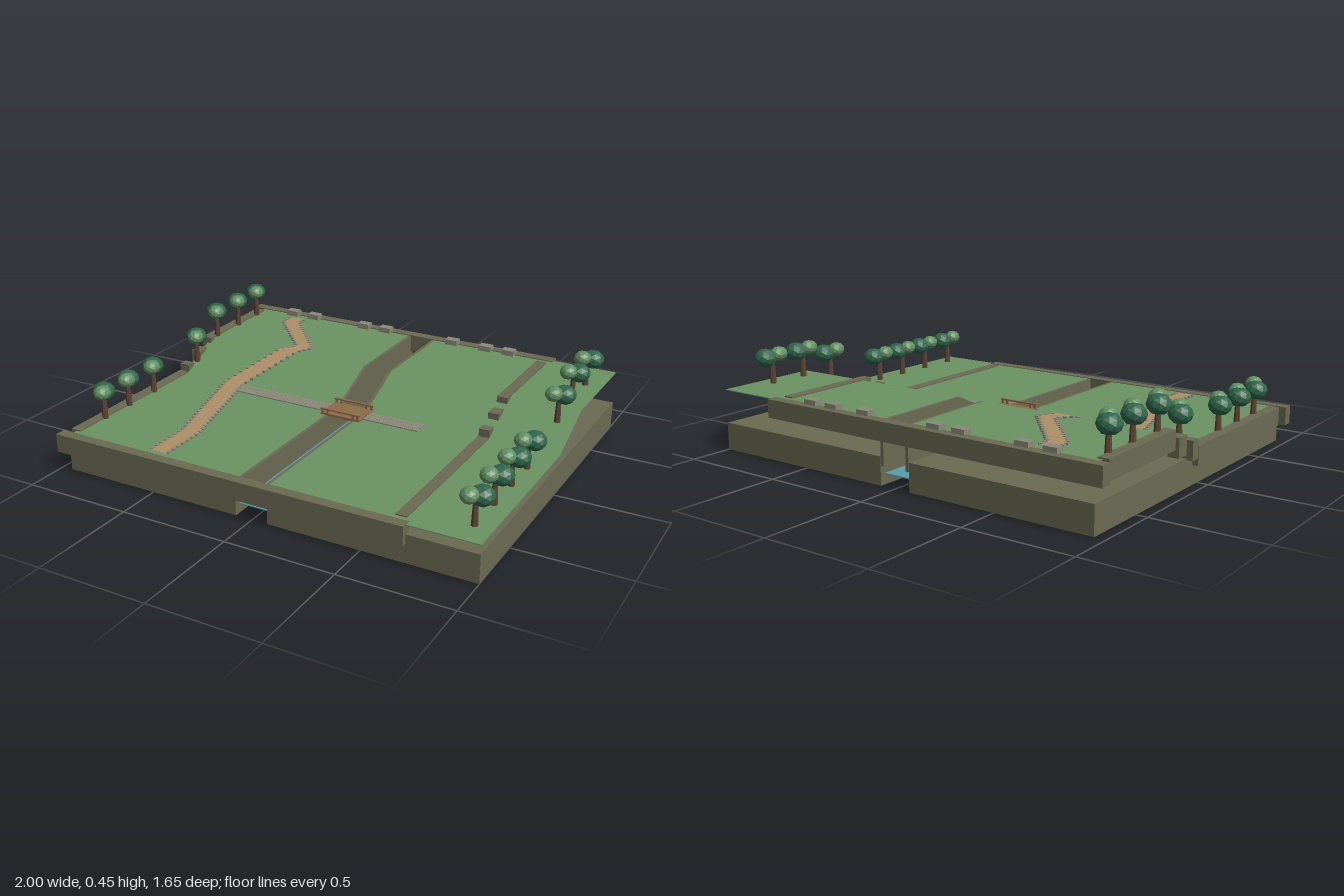
import * as THREE from 'three';

const mat = (name, color) => Object.assign(new THREE.MeshStandardMaterial({ color, flatShading: true }), { name });

export function createModel() {
  const root = new THREE.Group();
  root.name = 'terracedGarden';
  const M = {
    grass: mat('grass', 0x6b9362),
    wall: mat('oliveStone', 0x6b6a53),
    stone: mat('paleStone', 0x8a8a7a),
    water: mat('water', 0x5a9cab),
    dirt: mat('dirt', 0xae9068),
    wood: mat('bridgeWood', 0x8f6b4a),
    trunk: mat('bark', 0x5e4432),
    leafDark: mat('darkLeaves', 0x2f664a),
    leafLight: mat('lightLeaves', 0x628f62),
  };
  M.dirt.side = THREE.DoubleSide;

  const add = (name, geo, material, parent = root) => {
    const m = new THREE.Mesh(geo, material);
    m.name = name;
    parent.add(m);
    return m;
  };
  // box given by its extents
  const box = (name, material, x0, x1, y0, y1, z0, z1, parent = root) => {
    const m = add(name, new THREE.BoxGeometry(x1 - x0, y1 - y0, z1 - z0), material, parent);
    m.position.set((x0 + x1) / 2, (y0 + y1) / 2, (z0 + z1) / 2);
    return m;
  };

  // ground height: low terrace, ramp, high terrace
  const LOW = 0.167, HIGH = 0.279, RAMP0 = -0.05, RAMP1 = -0.3;
  const ground = z => LOW + (HIGH - LOW) * THREE.MathUtils.clamp((RAMP0 - z) / (RAMP0 - RAMP1), 0, 1);

  // side profile (z, y) extruded across x
  const across = (name, material, pts, x0, x1) => {
    const shape = new THREE.Shape(pts.map(p => new THREE.Vector2(p[0], p[1])));
    const geo = new THREE.ExtrudeGeometry(shape, { depth: x1 - x0, bevelEnabled: false, steps: 1 });
    geo.rotateY(-Math.PI / 2).translate(x1, 0, 0);
    return add(name, geo, material);
  };
  const topLine = [[0.8, LOW], [RAMP0, LOW], [RAMP1, HIGH], [-0.8, HIGH]];

  // foundation slabs with the canal gap between
  box('foundationRight', M.wall, -0.95, -0.078, 0, 0.125, -0.8, 0.8);
  box('foundationLeft', M.wall, 0.074, 1, 0, 0.125, -0.8, 0.8);

  // thin terraced lawns
  const sheet = [...topLine, ...topLine.map(([z, y]) => [z, y - 0.004]).reverse()];
  across('lawnRight', M.grass, sheet, -0.948, -0.075);
  across('lawnLeft', M.grass, sheet, 0.071, 1);

  // canal
  box('canalWater', M.water, -0.075, 0.071, 0.047, 0.051, -0.78, 0.78);
  const lining = [...topLine, [-0.8, 0.085], [0.8, 0.085]];
  across('canalWallRight', M.wall, lining, -0.076, -0.061);
  across('canalWallLeft', M.wall, lining, 0.057, 0.072);

  // boundary walls, stepped up the ramp
  box('frontWall', M.wall, -1, 0.695, 0.085, 0.17, 0.775, 0.825);
  box('backWall', M.wall, -1, 0.695, 0.2, 0.283, -0.83, -0.78);
  const steps = [[-0.05, 0.75, 0.172], [-0.1, -0.055, 0.205], [-0.22, -0.155, 0.243], [-0.75, -0.25, 0.285]];
  for (const x of [-0.952, 0.65]) {
    for (const [z0, z1, top] of steps) box('sideWall', M.wall, x - 0.025, x + 0.025, top - 0.085, top, z0, z1);
  }

  // stone blocks along the back wall
  for (const x of [-0.755, -0.627, -0.328, -0.203, 0.17, 0.35, 0.47]) {
    box('backBlock', M.stone, x - 0.032, x + 0.032, 0.265, 0.305, -0.8, -0.757);
  }

  // winding dirt path that follows the ground
  const path = [[-0.7, -0.73], [-0.7, -0.66], [-0.45, -0.375], [-0.496, -0.3], [-0.65, -0.05], [-0.5, 0.52], [-0.5, 0.75]]
    .map(p => new THREE.Vector2(p[0], p[1]));
  const half = 0.042;
  const edges = path.map((p, i) => {
    const a = p.clone().sub(path[Math.max(i - 1, 0)]).normalize();
    const b = path[Math.min(i + 1, path.length - 1)].clone().sub(p).normalize();
    const t = a.add(b).normalize();
    const n = new THREE.Vector2(-t.y, t.x).multiplyScalar(half);
    // keep the ramp corners on the fold lines
    if (p.y === RAMP0 || p.y === RAMP1) n.set(n.x < 0 ? -half * 1.15 : half * 1.15, 0);
    return [p.clone().add(n), p.clone().sub(n)];
  });
  const pos = [], idx = [];
  edges.forEach((e, i) => {
    for (const q of e) pos.push(q.x, ground(q.y) + 0.004, q.y);
    if (i) { const k = i * 2; idx.push(k - 2, k - 1, k, k, k - 1, k + 1); }
  });
  const ribbon = new THREE.BufferGeometry();
  ribbon.setAttribute('position', new THREE.Float32BufferAttribute(pos, 3));
  ribbon.setIndex(idx);
  ribbon.computeVertexNormals();
  add('dirtPath', ribbon, M.dirt);

  // small kerb stones on both sides of the path
  const kerbs = new THREE.Group();
  kerbs.name = 'pathKerbs';
  root.add(kerbs);
  for (const side of [0, 1]) {
    for (let i = 1; i < edges.length; i++) {
      const a = edges[i - 1][side], b = edges[i][side];
      const n = Math.max(1, Math.round(a.distanceTo(b) / 0.033));
      for (let k = 0; k < n; k++) {
        const q = a.clone().lerp(b, (k + 0.5) / n), g = ground(q.y);
        box('kerbStone', M.stone, q.x - 0.008, q.x + 0.008, g - 0.002, g + 0.007, q.y - 0.008, q.y + 0.008, kerbs);
      }
    }
  }

  // cobbled cross path in staggered rows
  const cobbles = new THREE.Group();
  cobbles.name = 'cobblePath';
  root.add(cobbles);
  for (const [x0, x1] of [[-0.6, -0.09], [0.09, 0.37]]) {
    for (let r = 0; r < 3; r++) {
      const z = -0.045 + r * 0.027;
      for (let x = x0 - (r % 2) * 0.018; x < x1 - 0.005; x += 0.036) {
        const l = Math.max(x, x0), e = Math.min(x + 0.035, x1);
        box('cobble', M.stone, l, e, LOW - 0.002, LOW + 0.005, z, z + 0.026, cobbles);
      }
    }
  }

  // footbridge with low rails
  const bridge = new THREE.Group();
  bridge.name = 'footbridge';
  root.add(bridge);
  box('deck', M.wood, -0.1, 0.1, 0.165, 0.176, -0.07, 0.07, bridge);
  for (const z of [-0.065, 0.065]) {
    box('rail', M.wood, -0.1, 0.1, 0.191, 0.198, z - 0.005, z + 0.005, bridge);
    for (const x of [-0.09, -0.065, 0.065, 0.09]) {
      box('railPost', M.wood, x - 0.005, x + 0.005, 0.174, 0.193, z - 0.005, z + 0.005, bridge);
    }
  }

  // trees along both edges
  const trunkGeo = new THREE.CylinderGeometry(0.01, 0.015, 0.1, 6);
  const crownGeo = new THREE.IcosahedronGeometry(1, 1);
  const tree = (x, z) => {
    const t = new THREE.Group(), out = Math.sign(x);
    t.name = 'tree';
    t.position.set(x, ground(z), z);
    add('trunk', trunkGeo, M.trunk, t).position.y = 0.048;
    const dark = add('crown', crownGeo, M.leafDark, t);
    dark.position.set(out * 0.017, 0.12, -0.024);
    dark.scale.set(0.052, 0.043, 0.052);
    const light = add('upperCrown', crownGeo, M.leafLight, t);
    light.position.set(-out * 0.016, 0.136, 0.026);
    light.scale.set(0.038, 0.034, 0.042);
    root.add(t);
  };
  for (const z of [0.58, 0.41, 0.225, -0.13, -0.31, -0.5, -0.675]) tree(-0.927, z);
  for (const z of [0.68, 0.49, 0.31, 0.135, -0.215, -0.395, -0.585]) tree(0.922, z);

  return root;
}
